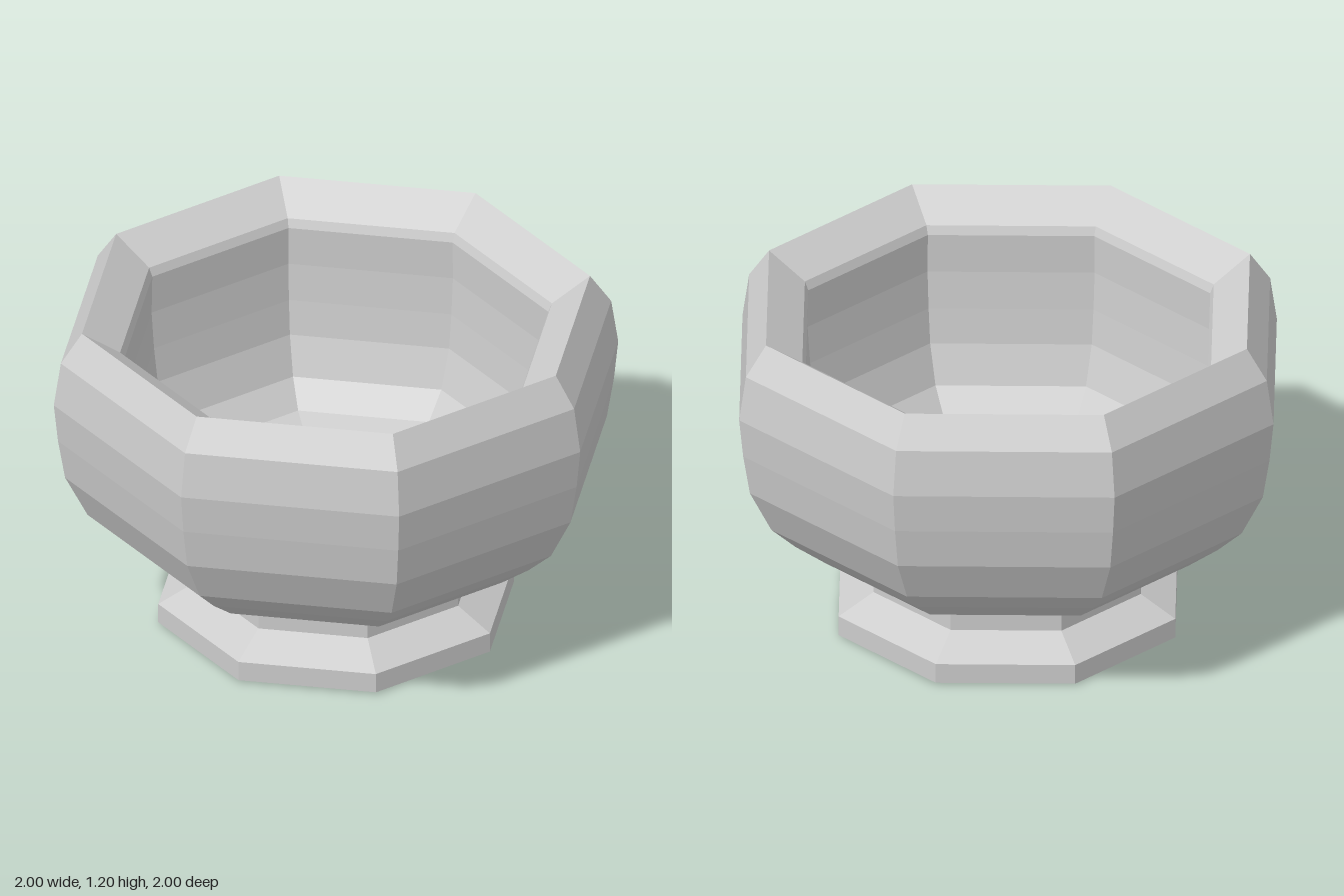
import * as THREE from 'three';

const SIDES = 8;

// Octagonal turned part with flat facets; profile is [radius, height] pairs
function turned(name, profile, material) {
  const points = profile.map(([r, y]) => new THREE.Vector2(r, y));
  const geometry = new THREE.LatheGeometry(points, SIDES).toNonIndexed();
  geometry.computeVertexNormals();
  const mesh = new THREE.Mesh(geometry, material);
  mesh.name = name;
  return mesh;
}

export function createModel() {
  const group = new THREE.Group();
  group.name = 'bowl';
  const stone = new THREE.MeshStandardMaterial({ color: 0xcccccc });
  stone.name = 'light grey';

  // Thin pad under the foot, flared foot and short stem
  group.add(turned('foot', [
    [0, 0], [0.48, 0], [0.48, 0.007], [0.63, 0.007],
    [0.63, 0.08], [0.5, 0.15], [0.5, 0.23],
  ], stone));

  // Rounded outer wall
  group.add(turned('outerWall', [
    [0.5, 0.23], [0.68, 0.30], [0.79, 0.385], [0.88, 0.47], [0.96, 0.63],
    [0.985, 0.78], [1, 0.925], [0.975, 1.09], [0.9, 1.2],
  ], stone));

  // Rim sloping inward
  group.add(turned('rim', [[0.9, 1.2], [0.765, 1.107]], stone));

  // Hollow interior, from the small step under the rim to the flat floor
  group.add(turned('interior', [
    [0.765, 1.107], [0.752, 1.075], [0.755, 0.93], [0.745, 0.79], [0.73, 0.66],
    [0.68, 0.52], [0.6, 0.43], [0.375, 0.36], [0, 0.36],
  ], stone));

  return group;
}
